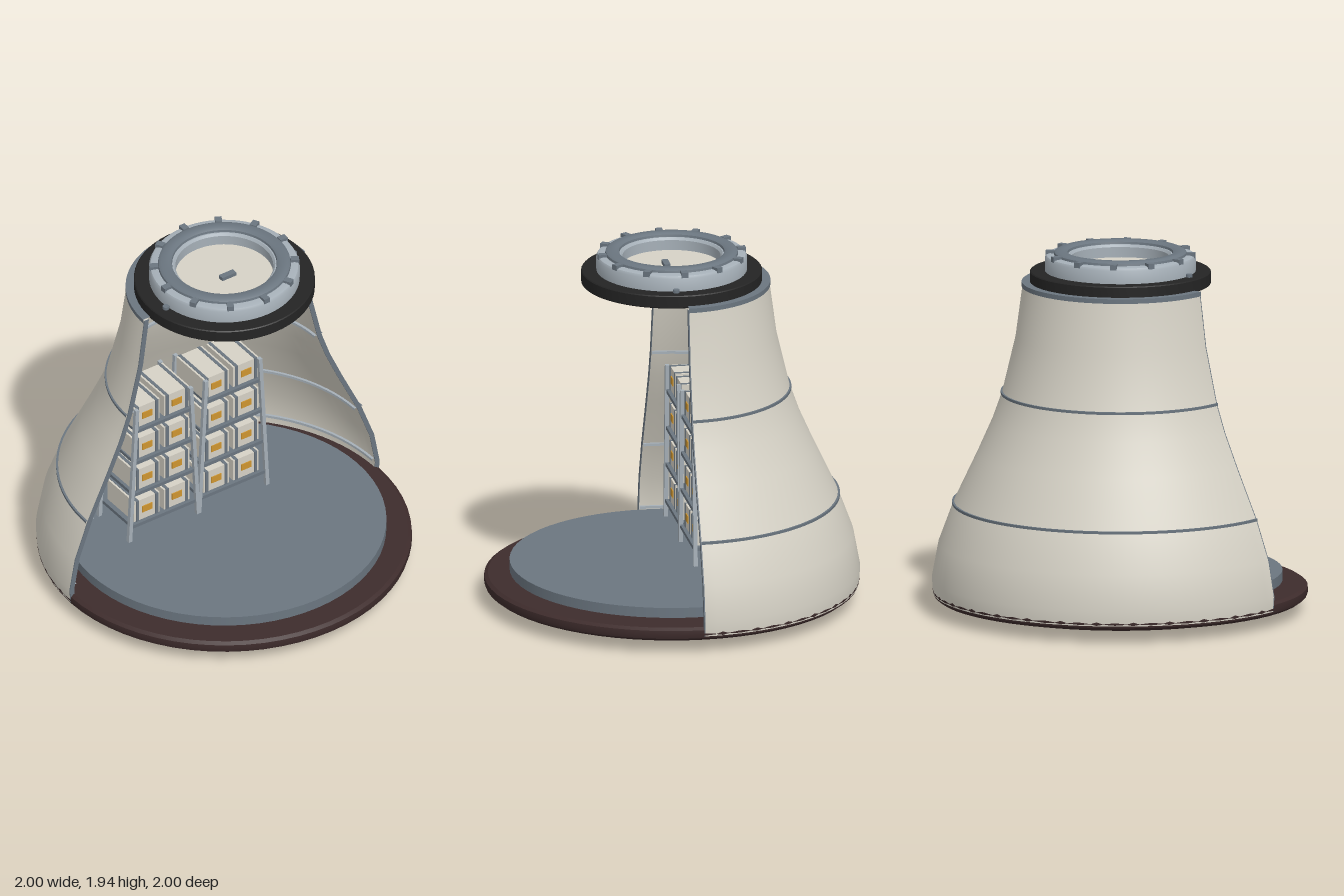
import * as THREE from 'three';
import { toCreasedNormals } from 'three/addons/utils/BufferGeometryUtils.js';

const material = (name, color, side = THREE.FrontSide) => {
  const m = new THREE.MeshStandardMaterial({ color, side });
  m.name = name;
  return m;
};

export function createModel() {
  const model = new THREE.Group();
  model.name = 'capsule';
  const cream = material('cream', 0xd6d2c6, THREE.DoubleSide);
  const slate = material('slate', 0x6b7680);
  const steel = material('lightSteel', 0xa6b0b8);
  const black = material('black', 0x242424);
  const brown = material('charredBrown', 0x3e2c2c);
  const amber = material('amber', 0xcf9630);

  const add = (parent, name, geometry, mat, x = 0, y = 0, z = 0) => {
    const mesh = new THREE.Mesh(geometry, mat);
    mesh.name = name;
    mesh.position.set(x, y, z);
    parent.add(mesh);
    return mesh;
  };
  const lathe = (points, start = 0, length = Math.PI * 2, segments = 64) =>
    toCreasedNormals(new THREE.LatheGeometry(
      points.map(([r, y]) => new THREE.Vector2(r, y)), segments, start, length), 0.6);
  const halfLathe = (points) => lathe(points, Math.PI / 2, Math.PI, 48);
  // Rectangular ring section, outer face first
  const band = (r0, r1, y0, y1) => [[r0, y0], [r1, y0], [r1, y1], [r0, y1], [r0, y0]];

  // Heat shield and cabin floor
  add(model, 'heatShield', lathe([[0, 0.005], [0.3, 0.01], [0.6, 0.025], [0.85, 0.05], [0.97, 0.075],
    [0.99, 0.09], [0.996, 0.11], [0.994, 0.135], [0.975, 0.148], [0, 0.148]]), brown);
  add(model, 'floor', new THREE.CylinderGeometry(0.86, 0.86, 0.055, 64), slate, 0, 0.193, 0);

  // Back half of the hull, cut open along z = 0
  const outer = [[0.994, 0.1], [1, 0.18], [0.965, 0.37], [0.885, 0.585], [0.76, 0.85],
    [0.68, 1.03], [0.627, 1.18], [0.556, 1.48], [0.518, 1.765]];
  const inner = outer.map(([r, y]) => [r - 0.028, y]).reverse();
  const section = [...outer, ...inner, outer[0]];
  add(model, 'hull', halfLathe(section), cream);

  // Frames covering both cut edges
  for (const side of [-1, 1]) {
    const shape = new THREE.Shape(section.slice(0, -1).map(([r, y]) => new THREE.Vector2(side * r, y)));
    const frame = new THREE.ExtrudeGeometry(shape, { depth: 0.006, bevelEnabled: false });
    add(model, 'cutEdgeFrame', frame, slate, 0, 0, -0.002);
  }

  // Seam rings outside and ribs inside
  for (const [r, y] of [[0.885, 0.585], [0.627, 1.18]]) {
    add(model, 'seamRing', halfLathe(band(r - 0.01, r + 0.008, y - 0.007, y + 0.007)), slate);
  }
  for (const [r, y] of [[0.998, 0.2], [0.885, 0.585], [0.627, 1.18]]) {
    add(model, 'innerRib', halfLathe(band(r - 0.045, r - 0.02, y - 0.007, y + 0.007)), steel);
  }
  add(model, 'hullTopRing', halfLathe(band(0.46, 0.524, 1.752, 1.777)), slate);

  // Docking collar
  const dock = new THREE.Group();
  dock.name = 'dockingCollar';
  model.add(dock);
  add(dock, 'baseRing', lathe([[0.26, 1.765], [0.475, 1.765], [0.48, 1.77], [0.48, 1.83],
    [0.475, 1.835], [0.26, 1.835], [0.26, 1.765]]), black);
  add(dock, 'collar', lathe([[0.26, 1.83], [0.4, 1.83], [0.4, 1.905], [0.392, 1.918], [0.375, 1.923],
    [0.27, 1.923], [0.26, 1.91], [0.26, 1.83]]), steel);
  add(dock, 'topRing', lathe([[0.275, 1.915], [0.355, 1.915], [0.35, 1.935], [0.335, 1.944],
    [0.295, 1.944], [0.28, 1.935], [0.275, 1.915]]), slate);
  add(dock, 'hatch', new THREE.CylinderGeometry(0.265, 0.265, 0.06, 64), cream, 0, 1.825, 0);
  add(dock, 'hatchHandle', new THREE.BoxGeometry(0.09, 0.02, 0.034), slate, 0, 1.865, 0.03);
  for (let i = 0; i < 12; i++) {
    const a = i * Math.PI / 6;
    const latch = add(dock, 'latch', new THREE.BoxGeometry(0.036, 0.03, 0.045), slate,
      0.375 * Math.sin(a), 1.922, 0.375 * Math.cos(a));
    latch.rotation.y = a;
  }
  for (const side of [-1, 1]) {
    add(dock, 'guidePin', new THREE.CylinderGeometry(0.018, 0.018, 0.02, 12), slate, side * 0.412, 1.842, 0.05);
  }

  // Storage racks
  const up = new THREE.Vector3(0, 1, 0);
  const bar = (parent, name, from, to, size, mat) => {
    const a = new THREE.Vector3(...from), b = new THREE.Vector3(...to);
    const dir = b.clone().sub(a);
    const mesh = add(parent, name, new THREE.BoxGeometry(size, dir.length(), size), mat);
    mesh.position.copy(a).add(b).multiplyScalar(0.5);
    mesh.quaternion.setFromUnitVectors(up, dir.normalize());
  };
  const addCrate = (rack, x, y) => {
    const crate = new THREE.Group();
    crate.name = 'crate';
    crate.position.set(x, y, 0);
    rack.add(crate);
    add(crate, 'crateBox', new THREE.BoxGeometry(0.165, 0.13, 0.25), cream);
    add(crate, 'crateLabel', new THREE.BoxGeometry(0.064, 0.04, 0.006), amber, 0, 0, 0.127);
    for (const s of [-1, 1]) {
      add(crate, 'strap', new THREE.BoxGeometry(0.018, 0.134, 0.256), slate, s * 0.062, 0, 0);
    }
  };
  for (const x of [-0.345, 0.102]) {
    const rack = new THREE.Group();
    rack.name = 'storageRack';
    rack.position.set(x, 0, -0.21);
    model.add(rack);
    for (const sx of [-1, 1]) {
      for (const z of [-0.14, 0.14]) {
        bar(rack, 'rackPost', [sx * 0.22, 0.275, z], [sx * 0.174, 1.13, z], 0.022, steel);
      }
    }
    for (let i = 0; i < 4; i++) {
      const y = 0.363 + i * 0.2075;
      add(rack, 'shelf', new THREE.BoxGeometry(0.41 - i * 0.02, 0.02, 0.29), slate, 0, y, 0);
      for (const s of [-1, 1]) addCrate(rack, s * 0.096, y + 0.077);
    }
  }
  return model;
}
